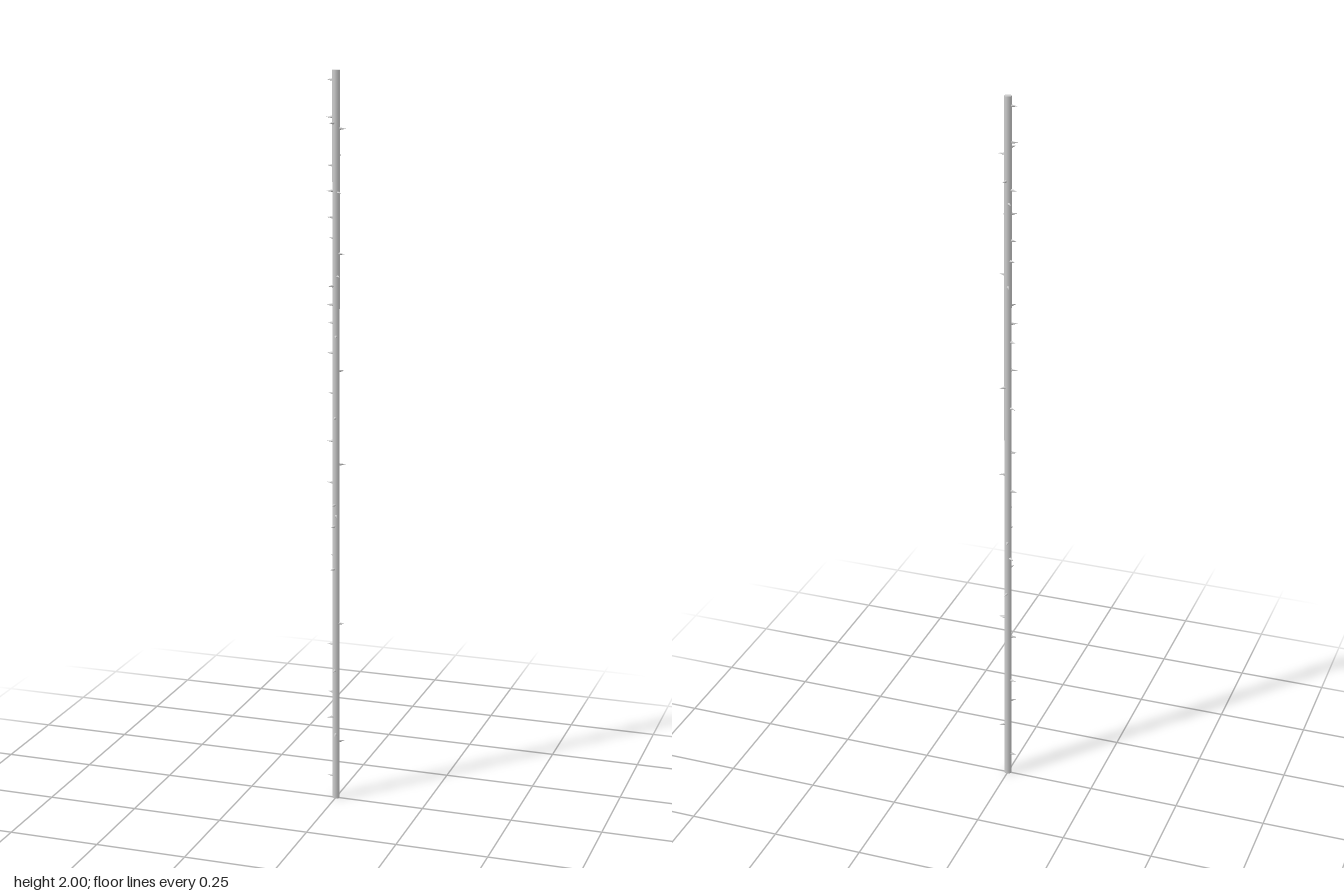
import * as THREE from 'three';

// Thorns as height on the stem and heading in degrees (0 = +x, 90 = +z)
const THORNS = [
  [0.065, 180], [0.165, -40], [0.19, 80], [0.24, 140], [0.31, 190], [0.375, 92],
  [0.45, 168], [0.51, 5], [0.59, -85], [0.665, 110], [0.70, 215], [0.75, -100],
  [0.785, 103], [0.815, 70], [0.845, 97], [0.905, 185], [0.955, -30], [1.02, 174],
  [1.085, 87], [1.15, 200], [1.21, -48], [1.26, 177], [1.305, 75], [1.34, 195],
  [1.39, 160], [1.44, 130], [1.465, 48], [1.495, -112], [1.525, 12], [1.565, 205],
  [1.62, 183], [1.685, 40], [1.69, 148], [1.72, 235], [1.755, 188], [1.78, -75],
  [1.85, -8], [1.865, 118], [1.88, 170], [1.975, 181],
];

export function createModel() {
  const group = new THREE.Group();
  const material = new THREE.MeshStandardMaterial({ color: 0xcccccc });
  const stemRadius = 0.01;

  // Long straight stem
  const stem = new THREE.Mesh(new THREE.CylinderGeometry(stemRadius, stemRadius, 2, 12), material);
  stem.name = 'stem';
  stem.position.y = 1;
  group.add(stem);

  // Thorn: a slim cone along +x, rooted just inside the stem
  const length = 0.018;
  const thornGeometry = new THREE.ConeGeometry(0.004, length, 8);
  thornGeometry.rotateZ(-Math.PI / 2);
  thornGeometry.translate(stemRadius - 0.002 + length / 2, 0, 0);

  const thorns = new THREE.Group();
  thorns.name = 'thorns';
  for (const [y, degrees] of THORNS) {
    const thorn = new THREE.Mesh(thornGeometry, material);
    thorn.name = 'thorn';
    thorn.position.y = y;
    thorn.rotation.y = -THREE.MathUtils.degToRad(degrees);
    thorns.add(thorn);
  }
  group.add(thorns);
  return group;
}
